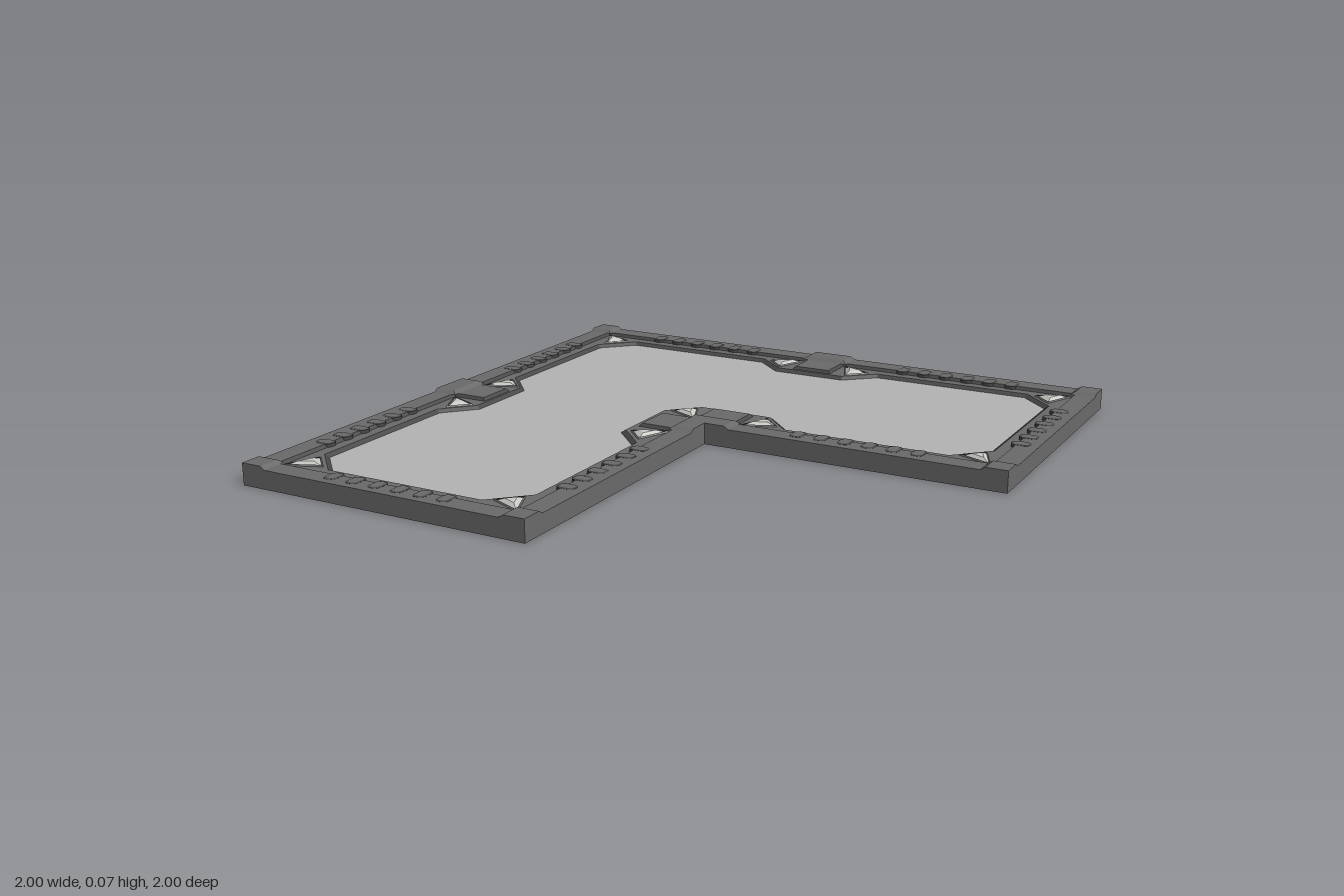
import * as THREE from 'three';

const mat = (name, color) => {
  const m = new THREE.MeshStandardMaterial({ color, side: THREE.DoubleSide });
  m.name = name;
  return m;
};

// Outlines are lists of [x, z], running clockwise seen from above.
const OUTER = [[-1, -1], [1, -1], [1, 0], [0, 0], [0, 1], [-1, 1]];
const RECESS = [
  [-0.93, -0.93], [-0.065, -0.93], [-0.065, -0.81], [0.065, -0.81], [0.065, -0.93], [0.93, -0.93],
  [0.93, -0.07], [0.065, -0.07], [0.065, -0.19], [-0.065, -0.19], [-0.065, -0.065], [-0.19, -0.065],
  [-0.19, 0.065], [-0.07, 0.065], [-0.07, 0.93], [-0.93, 0.93],
  [-0.93, 0.065], [-0.81, 0.065], [-0.81, -0.065], [-0.93, -0.065],
];
const PANEL = [
  [-0.77, -0.87], [-0.23, -0.87], [-0.13, -0.78], [0.13, -0.78], [0.23, -0.87], [0.77, -0.87],
  [0.87, -0.77], [0.87, -0.23], [0.77, -0.13], [0.23, -0.13], [0.13, -0.23], [-0.13, -0.23],
  [-0.23, -0.13], [-0.23, 0.13], [-0.13, 0.23], [-0.13, 0.77], [-0.23, 0.87], [-0.77, 0.87],
  [-0.87, 0.77], [-0.87, 0.23], [-0.78, 0.13], [-0.78, -0.13], [-0.87, -0.23], [-0.87, -0.77],
];

// Mitred inset of an outline (negative d grows it)
function inset(pts, d) {
  const n = pts.length;
  const normal = (a, b) => {
    const l = Math.hypot(b[0] - a[0], b[1] - a[1]);
    return [-(b[1] - a[1]) / l, (b[0] - a[0]) / l];
  };
  return pts.map((p, i) => {
    const a = normal(pts[(i + n - 1) % n], p), b = normal(p, pts[(i + 1) % n]);
    const k = d / (1 + a[0] * b[0] + a[1] * b[1]);
    return [p[0] + (a[0] + b[0]) * k, p[1] + (a[1] + b[1]) * k];
  });
}

// Flat sheet facing up, with optional holes
function sheet(pts, y, holes = []) {
  const v = (list) => list.map(([x, z]) => new THREE.Vector2(x, -z));
  const s = new THREE.Shape(v(pts));
  s.holes = holes.map((h) => new THREE.Path(v(h)));
  return new THREE.ShapeGeometry(s).rotateX(-Math.PI / 2).translate(0, y, 0);
}

// Flat-shaded band from an upper outline to a lower one
function band(top, yTop, low, yLow) {
  const pos = [];
  top.forEach((a, i) => {
    const j = (i + 1) % top.length;
    const A = [a[0], yTop, a[1]], B = [top[j][0], yTop, top[j][1]];
    const C = [low[j][0], yLow, low[j][1]], D = [low[i][0], yLow, low[i][1]];
    pos.push(...A, ...B, ...C, ...A, ...C, ...D);
  });
  const g = new THREE.BufferGeometry();
  g.setAttribute('position', new THREE.Float32BufferAttribute(pos, 3));
  g.computeVertexNormals();
  return g;
}

// Rounded slot outline, long across the rim
function pill(cx, cz, w, h, alongX) {
  const r = w * 0.42, out = [];
  for (let i = 0; i < 16; i++) {
    const a = ((i + 0.5) / 16) * Math.PI * 2, c = Math.cos(a), s = Math.sin(a);
    const u = Math.sign(c) * (w / 2 - r) + c * r, v = Math.sign(s) * (h / 2 - r) + s * r;
    out.push(alongX ? [cx + u, cz + v] : [cx + v, cz + u]);
  }
  return out;
}

export function createModel() {
  const root = new THREE.Group();
  const frame = mat('frame grey', 0x696969);
  const trim = mat('dark trim', 0x484848);
  const floor = mat('panel grey', 0xb2b2b2);
  const glass = mat('lamp pale grey', 0xc8c8c4);
  const add = (name, geo, m) => {
    const mesh = new THREE.Mesh(geo, m);
    mesh.name = name;
    root.add(mesh);
  };

  // Triangular lamps in the four corners of each square tile
  const lamps = [];
  for (const [cx, cz] of [[-0.5, -0.5], [0.5, -0.5], [-0.5, 0.5]])
    for (const sx of [-1, 1])
      for (const sz of [-1, 1])
        lamps.push([[0.087, 0.087], [0.187, 0.13], [0.13, 0.187]]
          .map(([u, v]) => [cx + sx * (0.5 - u), cz + sz * (0.5 - v)]));

  // Open-bottomed frame: walls, rim, step, lower ledge
  const ledge = inset(RECESS, 0.008), lip = inset(PANEL, -0.014);
  add('outerWall', band(OUTER, 0.06, OUTER, 0), frame);
  add('rim', sheet(OUTER, 0.06, [RECESS]), frame);
  add('rimStep', band(RECESS, 0.06, ledge, 0.05), trim);
  add('ledge', sheet(ledge, 0.05, [lip, ...lamps]), frame);
  add('panelBevel', band(lip, 0.05, PANEL, 0.04), trim);
  add('floorPanel', sheet(PANEL, 0.04), floor);

  // Lamp collars and low pyramid lenses
  for (const tri of lamps) {
    const c = [0, 1].map((k) => (tri[0][k] + tri[1][k] + tri[2][k]) / 3);
    const scaled = (f) => tri.map((p) => p.map((q, k) => c[k] + (q - c[k]) * f));
    add('lampCollar', band(scaled(1.02), 0.055, scaled(1.15), 0.05), frame);
    add('lampLens', band(scaled(0.45), 0.061, tri, 0.05), glass);
    add('lampTop', sheet(scaled(0.45), 0.061), glass);
  }

  // Raised pads at the corners and joints, tapering down along the rim
  const rect = (x0, x1, z0, z1) => [[x0, z0], [x1, z0], [x1, z1], [x0, z1]];
  const pads = [
    rect(-1, -0.93, -1, -0.93), rect(0.93, 1, -1, -0.93), rect(0.93, 1, -0.07, 0),
    rect(-0.07, 0, 0.93, 1), rect(-1, -0.93, 0.93, 1),
    rect(-0.07, 0.07, -1, -0.93), rect(-1, -0.93, -0.07, 0.07),
    [[-0.07, -0.07], [0.07, -0.07], [0.07, 0], [0, 0], [0, 0.07], [-0.07, 0.07]],
  ];
  const spread = (c) => {
    const a = Math.abs(c);
    return Math.sign(c) * (a === 0.07 ? 0.085 : a === 0.93 ? 0.915 : a);
  };
  for (const p of pads) {
    add('padTop', sheet(p, 0.07), frame);
    add('padSkirt', band(p, 0.07, p.map((q) => q.map(spread)), 0.06), frame);
  }

  // Rows of six studs: [centre along the side, position across, runs along x]
  const rows = [
    [-0.5, -0.945, true], [0.5, -0.945, true], [0.5, -0.06, true], [-0.5, 0.945, true],
    [-0.5, -0.945, false], [0.5, -0.945, false], [-0.5, 0.942, false], [0.5, -0.06, false],
  ];
  for (const [mid, across, alongX] of rows)
    for (let i = 0; i < 6; i++) {
      const t = mid + (i - 2.5) * 0.08;
      const shape = (w, h) => (alongX ? pill(t, across, w, h, true) : pill(across, t, w, h, false));
      const base = shape(0.044, 0.062), top = shape(0.032, 0.05);
      add('studEdge', band(base, 0.0605, base, 0.05), trim);
      add('studBevel', band(top, 0.0625, base, 0.0605), trim);
      add('studTop', sheet(top, 0.0625), frame);
    }

  return root;
}
